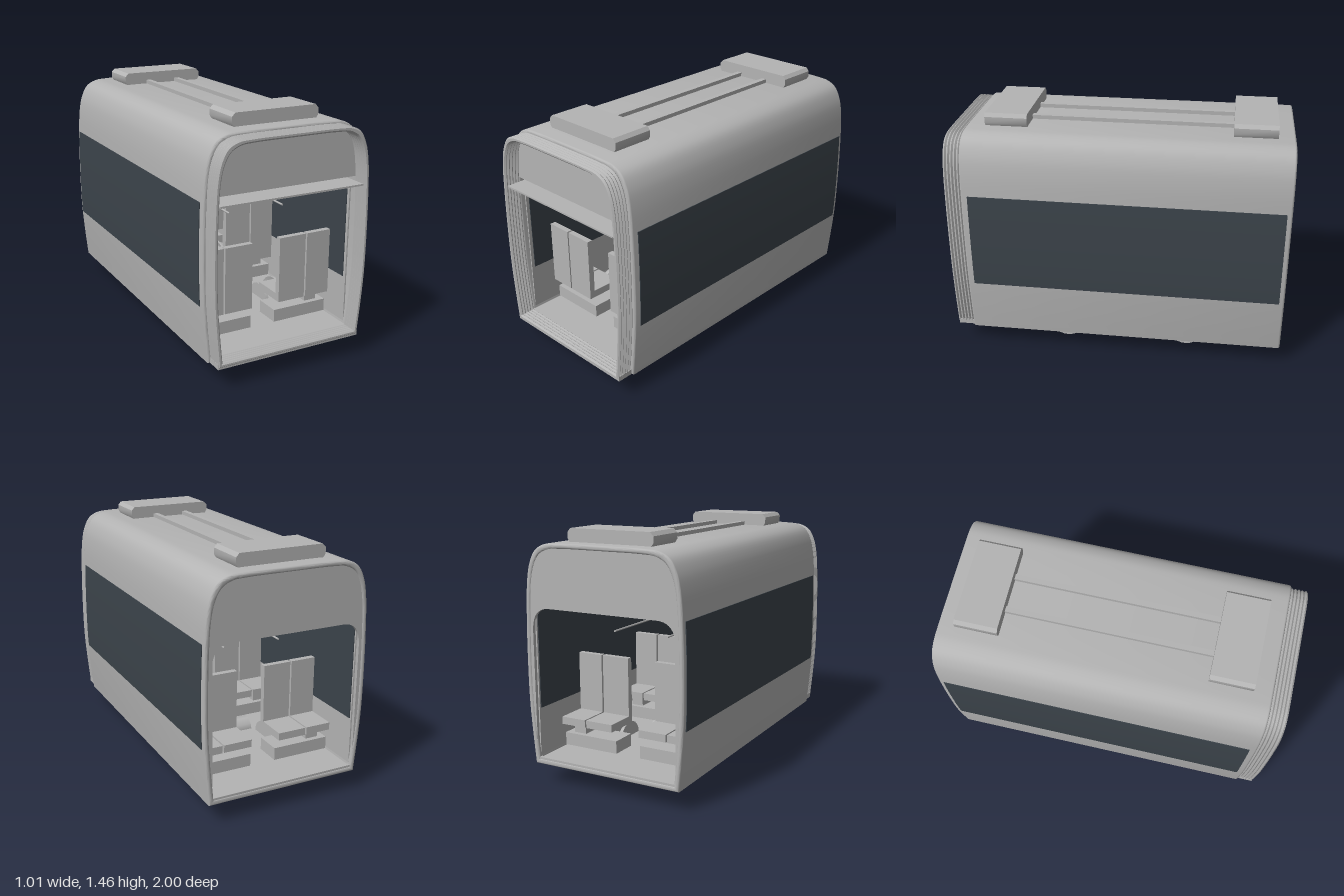
import * as THREE from 'three';
import { toCreasedNormals } from 'three/addons/utils/BufferGeometryUtils.js';

const grey = new THREE.MeshStandardMaterial({ color: 0xb4b4b4, side: THREE.DoubleSide });
grey.name = 'body grey';
const dark = new THREE.MeshStandardMaterial({ color: 0x3c444b });
dark.name = 'dark glass';

// Right half of the body cross-section, from sill to roof centre
const half = new THREE.CatmullRomCurve3([
  [0.465, 0.125], [0.482, 0.3], [0.496, 0.5], [0.499, 0.75], [0.494, 1.0], [0.482, 1.18],
  [0.46, 1.28], [0.42, 1.35], [0.36, 1.382], [0.28, 1.39], [0, 1.392],
].map(([x, y]) => new THREE.Vector3(x, y, 0))).getPoints(50);

// Full outline, moved inwards by d
function outline(d) {
  const kx = 1 - d / 0.5, ky = 1 - d / 0.633, cy = 0.758;
  const right = half.map(p => new THREE.Vector2(p.x * kx, cy + (p.y - cy) * ky));
  const left = right.slice(0, -1).reverse().map(p => new THREE.Vector2(-p.x, p.y));
  return [...right, ...left];
}

// Half width of the outer skin at height y
function sideX(y) {
  const i = half.findIndex(p => p.y >= y);
  const a = half[i - 1], b = half[i];
  return a.x + (b.x - a.x) * (y - a.y) / (b.y - a.y);
}

export function createModel() {
  const model = new THREE.Group();

  function add(name, geometry, x = 0, y = 0, z = 0, material = grey, parent = model) {
    const mesh = new THREE.Mesh(geometry, material);
    mesh.name = name;
    mesh.position.set(x, y, z);
    parent.add(mesh);
    return mesh;
  }
  // Box given by its limits
  function box(name, x0, x1, y0, y1, z0, z1, material = grey, parent = model) {
    return add(name, new THREE.BoxGeometry(x1 - x0, y1 - y0, z1 - z0),
      (x0 + x1) / 2, (y0 + y1) / 2, (z0 + z1) / 2, material, parent);
  }
  function extrude(shape, depth, bevel = 0, segments = 1) {
    const geometry = new THREE.ExtrudeGeometry(shape, {
      depth: depth - 2 * bevel, bevelEnabled: bevel > 0, bevelSize: bevel,
      bevelThickness: bevel, bevelOffset: -bevel, bevelSegments: segments, curveSegments: 10,
    });
    geometry.translate(0, 0, bevel);
    return toCreasedNormals(geometry, 0.6);
  }
  function ring(outer, inner) {
    const shape = new THREE.Shape(outline(outer));
    shape.holes.push(new THREE.Path(outline(inner)));
    return shape;
  }

  // Body tube
  add('bodyShell', extrude(ring(0, 0.03), 1.9, 0.012, 3), 0, 0, -1);

  // Bellows of pleated rings
  for (let i = 0; i < 5; i++) {
    add('bellowsPleat', extrude(ring(0.012, 0.04), 0.02, 0.009), 0, 0, 0.9 + i * 0.02);
  }

  // Rear end wall with a wide rounded opening
  const wall = new THREE.Shape(outline(0.012));
  const door = new THREE.Path();
  door.moveTo(-0.45, 0.165);
  door.lineTo(0.45, 0.165);
  door.lineTo(0.452, 0.9);
  door.quadraticCurveTo(0.45, 1.03, 0.34, 1.03);
  door.lineTo(-0.34, 1.03);
  door.quadraticCurveTo(-0.45, 1.03, -0.452, 0.9);
  door.closePath();
  wall.holes.push(door);
  add('rearEndWall', extrude(wall, 0.02), 0, 0, -0.995);

  // Front header, ceiling and floor
  const header = new THREE.Shape([
    ...outline(0.03).filter(p => p.y >= 1.03),
  ]);
  add('frontHeader', extrude(header, 0.01), 0, 0, 0.89);
  box('ceiling', -0.445, 0.445, 1.03, 1.04, -0.98, 0.99);
  box('floor', -0.455, 0.455, 0.13, 0.16, -0.985, 0.995);

  for (const s of [-1, 1]) {
    // Outer window band following the skin
    const strip = [];
    const heights = Array.from({ length: 13 }, (_, i) => 0.455 + i * 0.58 / 12);
    heights.forEach(y => strip.push(new THREE.Vector2(s * (sideX(y) + 0.004), y)));
    heights.reverse().forEach(y => strip.push(new THREE.Vector2(s * (sideX(y) - 0.003), y)));
    add('sideWindow', extrude(new THREE.Shape(strip), 1.83), 0, 0, -0.97);

    // Inner lining and inner glass
    const lining = new THREE.Group();
    lining.name = 'sideLining';
    model.add(lining);
    add('liningPanel', new THREE.BoxGeometry(0.008, 0.87, 1.86), s * 0.443, 0.585, -0.05, grey, lining);
    add('innerWindow', new THREE.BoxGeometry(0.004, 0.57, 1.83), s * 0.437, 0.735, -0.055, dark, lining);

    // Overhead handrail
    const rail = add('handrail', new THREE.CylinderGeometry(0.006, 0.006, 1.2, 8), s * 0.175, 0.85, 0);
    rail.rotation.x = Math.PI / 2;

    // Rows of double seats
    for (const z of [0.7, 0.06, -0.58]) {
      const seat = new THREE.Group();
      seat.name = 'doubleSeat';
      model.add(seat);
      for (const [a, b] of [[0.09, 0.265], [0.275, 0.434]]) {
        const [x0, x1] = s > 0 ? [a, b] : [-b, -a];
        box('backrest', x0, x1, 0.3, 0.695, z - 0.015, z + 0.02, grey, seat);
        box('cushion', x0, x1, 0.3, 0.345, z - 0.2, z - 0.015, grey, seat);
      }
      const [p0, p1] = s > 0 ? [0.31, 0.39] : [-0.39, -0.31];
      box('seatPedestal', p0, p1, 0.16, 0.3, z - 0.14, z - 0.04, grey, seat);
      const [b0, b1] = s > 0 ? [0.08, 0.434] : [-0.434, -0.08];
      box('seatBase', b0, b1, 0.165, 0.24, z - 0.17, z - 0.01, grey, seat);
    }
  }
  model.children.filter(m => m.name === 'sideWindow').forEach(m => { m.material = dark; });

  // Hanging display with a dark screen on both faces
  box('displayCase', -0.13, 0.13, 0.905, 0.995, -0.02, 0.02);
  box('displayScreen', -0.115, 0.115, 0.91, 0.988, 0.02, 0.024, dark);
  box('displayScreen', -0.115, 0.115, 0.91, 0.988, -0.024, -0.02, dark);
  box('displayStem', -0.006, 0.006, 0.99, 1.035, -0.006, 0.006);

  // Roof units with cut corners, joined by two conduits
  const unit = new THREE.Shape([
    [-0.25, 1.38], [0.25, 1.38], [0.268, 1.41], [0.268, 1.445], [0.25, 1.466],
    [-0.25, 1.466], [-0.27, 1.445], [-0.27, 1.41],
  ].map(([x, y]) => new THREE.Vector2(x, y)));
  for (const z of [-0.9, 0.54]) add('roofUnit', extrude(unit, 0.25), 0, 0, z);
  for (const x of [-0.105, 0.1]) box('roofConduit', x - 0.016, x + 0.016, 1.38, 1.415, -0.66, 0.55);

  // Wheel sets: flanged wheels, axle, brake discs, journal boxes
  const wheelProfile = [[0, -0.02], [0.05, -0.03], [0.1, -0.015], [0.132, -0.022], [0.132, -0.008],
    [0.118, 0], [0.112, 0.025], [0.09, 0.025], [0.05, 0.015], [0, 0.02]]
    .map(([r, y]) => new THREE.Vector2(r, y));
  const wheelGeometry = toCreasedNormals(new THREE.LatheGeometry(wheelProfile, 28), 0.5);
  const discGeometry = new THREE.CylinderGeometry(0.1, 0.1, 0.02, 20);
  for (const z of [0.325, -0.425]) {
    const set = new THREE.Group();
    set.name = 'wheelSet';
    set.position.set(0, 0.137, z);
    model.add(set);
    add('axle', new THREE.CylinderGeometry(0.018, 0.018, 0.74, 12), 0, 0, 0, grey, set)
      .rotation.z = Math.PI / 2;
    for (const s of [-1, 1]) {
      add('wheel', wheelGeometry, s * 0.318, 0, 0, grey, set).rotation.z = -s * Math.PI / 2;
      add('brakeDisc', discGeometry, s * 0.2, 0.013, 0, grey, set).rotation.z = Math.PI / 2;
      add('journalBox', new THREE.BoxGeometry(0.04, 0.09, 0.1), s * 0.36, 0.005, 0, grey, set);
    }
  }

  // Transverse motors
  for (const z of [0.14, -0.235]) {
    add('motor', new THREE.CylinderGeometry(0.072, 0.072, 0.3, 10), -0.025, 0.148, z)
      .rotation.z = Math.PI / 2;
  }
  return model;
}
